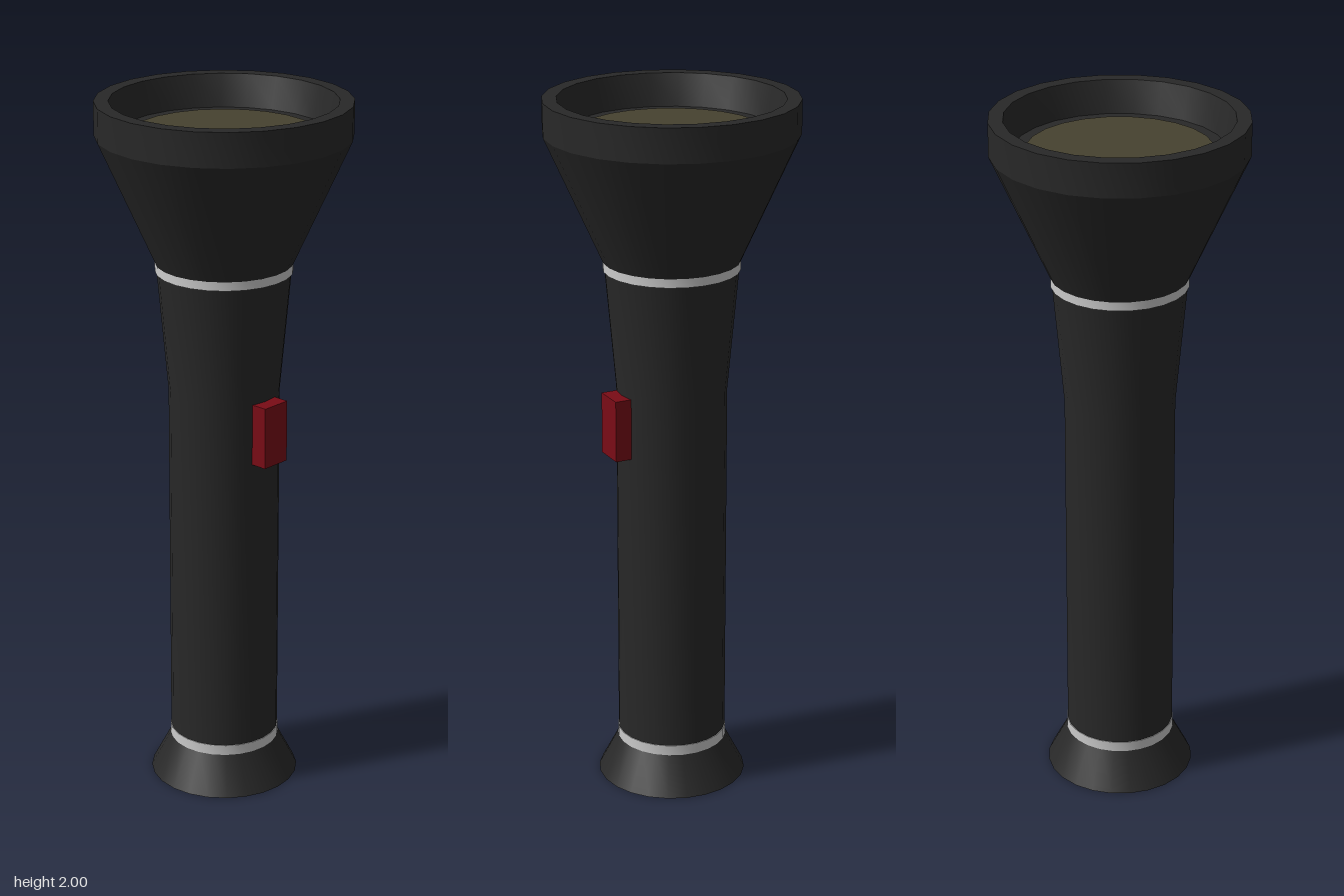
import * as THREE from 'three';
import { toCreasedNormals } from 'three/addons/utils/BufferGeometryUtils.js';

const SIDES = 24;
const black = new THREE.MeshStandardMaterial({ color: 0x282828 });
const grey = new THREE.MeshStandardMaterial({ color: 0xcccccc });
const red = new THREE.MeshStandardMaterial({ color: 0x7a0c16 });
const glass = new THREE.MeshStandardMaterial({ color: 0x46422f });

// Turned part from [radius, height] pairs, listed so the outside runs upwards
function turned(name, profile, material) {
  const points = profile.map(([r, y]) => new THREE.Vector2(r, y));
  const geometry = toCreasedNormals(new THREE.LatheGeometry(points, SIDES), 0.35);
  const mesh = new THREE.Mesh(geometry, material);
  mesh.name = name;
  return mesh;
}

export function createModel() {
  const torch = new THREE.Group();
  torch.name = 'flashlight';

  // Flared tail cap with a shallow round recess underneath
  torch.add(turned('tailCap', [
    [0, 0.02], [0.1, 0.02], [0.105, 0], [0.213, 0], [0.155, 0.112],
  ], black));

  // Straight handle widening into the neck
  torch.add(turned('handle', [
    [0.155, 0.11], [0.155, 1.18], [0.186, 1.53],
  ], black));

  // Conical head, rim, inner wall and the ledge around the lens
  torch.add(turned('head', [
    [0.19, 1.55], [0.35, 1.905], [0.35, 2], [0.31, 2], [0.286, 1.91], [0.24, 1.91],
  ], black));

  // Metal bands at both ends of the handle
  for (const [name, r, low, high] of [
    ['tailBand', 0.157, 0.11, 0.14],
    ['neckBand', 0.19, 1.525, 1.555],
  ]) {
    torch.add(turned(name, [[r - 0.02, low], [r, low], [r, high], [r - 0.02, high]], grey));
  }

  // Lens lying in the ledge
  const lens = new THREE.Mesh(new THREE.CircleGeometry(0.252, SIDES), glass);
  lens.name = 'lens';
  lens.rotation.x = -Math.PI / 2;
  lens.position.y = 1.913;
  torch.add(lens);

  // Switch on the front of the handle
  const button = new THREE.Mesh(new THREE.BoxGeometry(0.09, 0.176, 0.06), red);
  button.name = 'switch';
  button.position.set(0, 1.092, 0.165);
  torch.add(button);

  return torch;
}
